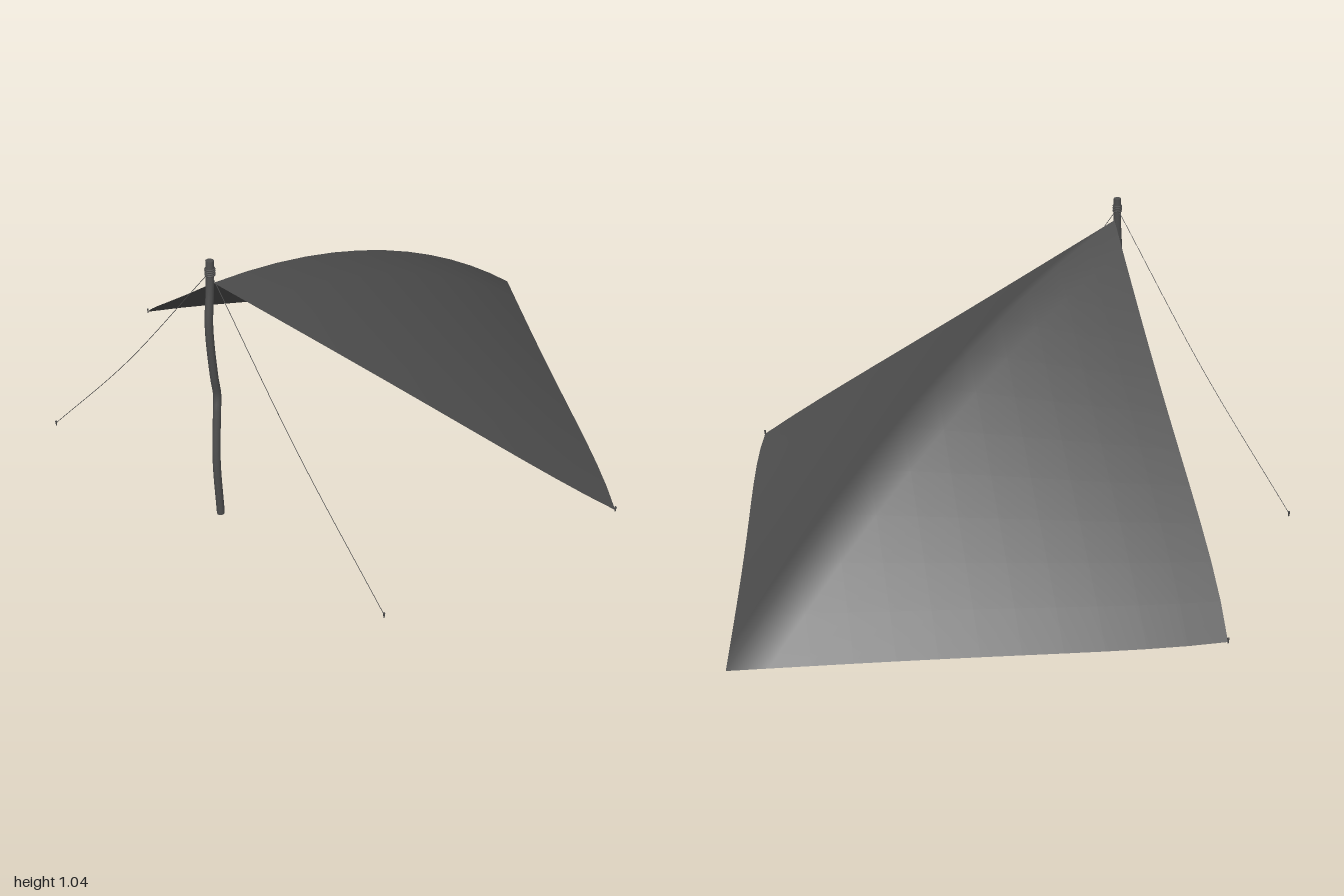
import * as THREE from 'three';

const V = (x, y, z) => new THREE.Vector3(x, y, z);
const material = new THREE.MeshStandardMaterial({ color: 0x4f4f4f, side: THREE.DoubleSide });

// Tarp corners: raised corner at the pole, then the three on the ground
const TOP = V(-0.405, 0.95, 0.39);
const LEFT = V(-0.6, 0.005, -0.98);
const FAR = V(0.988, 0.005, -0.998);
const RIGHT = V(0.97, 0.005, 0.59);

function add(parent, name, geometry) {
  const mesh = new THREE.Mesh(geometry, material);
  mesh.name = name;
  parent.add(mesh);
  return mesh;
}

// Square cloth folded softly along its diagonal, bulging upward at the ridge
function tarpGeometry(n = 12) {
  const geo = new THREE.PlaneGeometry(1, 1, n, n);
  const pos = geo.attributes.position;
  const index = [];
  for (let j = 0; j <= n; j++) {
    for (let i = 0; i <= n; i++) {
      const u = i / n, v = j / n;
      const a = 1 - Math.max(u, v), c = Math.min(u, v), side = Math.abs(u - v);
      const onLeft = u >= v;
      const p = V(0, 0, 0)
        .addScaledVector(TOP, a)
        .addScaledVector(FAR, c)
        .addScaledVector(onLeft ? LEFT : RIGHT, side);
      p.y += 0.56 * a * c;
      // slight outward bow of the edges near the pegged corners
      const bow = 0.2 * side ** 4;
      if (onLeft) {
        p.x -= a * bow;
        p.z -= 0.8 * c * bow;
      } else {
        p.z += a * bow;
        p.x += 0.8 * c * bow;
      }
      pos.setXYZ(j * (n + 1) + i, p.x, p.y, p.z);
      if (i < n && j < n) {
        // split each square along the ridge direction, facing upward
        const k = j * (n + 1) + i, m = k + n + 1;
        index.push(k, k + 1, m + 1, k, m + 1, m);
      }
    }
  }
  // choose the winding that faces upward
  for (let t = 0; t < index.length; t += 3) {
    const [A, B, C] = [0, 1, 2].map(q => V(0, 0, 0).fromBufferAttribute(pos, index[t + q]));
    if (B.sub(A).cross(C.sub(A)).y < 0) [index[t + 1], index[t + 2]] = [index[t + 2], index[t + 1]];
  }
  geo.setIndex(index);
  geo.computeVertexNormals();
  return geo;
}

// Tube with closed ends through a few points
function rod(parent, name, points, radius, segments, sides) {
  const curve = new THREE.CatmullRomCurve3(points, false, 'centripetal');
  const group = new THREE.Group();
  group.name = name;
  add(group, name + 'Body', new THREE.TubeGeometry(curve, segments, radius, sides));
  [0, 1].forEach(t => {
    const cap = add(group, name + 'End', new THREE.CircleGeometry(radius, sides));
    cap.position.copy(curve.getPoint(t));
    cap.lookAt(cap.position.clone().addScaledVector(curve.getTangent(t), t ? 1 : -1));
  });
  parent.add(group);
}

function peg(parent, x, z) {
  const mesh = add(parent, 'peg', new THREE.CylinderGeometry(0.004, 0.002, 0.02, 6));
  mesh.position.set(x, 0.01, z);
}

export function createModel() {
  const model = new THREE.Group();
  model.name = 'tarpShelter';

  add(model, 'tarp', tarpGeometry());

  // Crooked wooden pole
  rod(model, 'pole', [
    V(-0.415, 0, 0.39), V(-0.422, 0.25, 0.404), V(-0.412, 0.44, 0.385), V(-0.408, 0.5, 0.374),
    V(-0.416, 0.58, 0.388), V(-0.427, 0.8, 0.408), V(-0.418, 0.93, 0.398), V(-0.414, 1.035, 0.392),
  ], 0.014, 40, 10);

  // Rope wound around the pole head
  for (let i = 0; i < 4; i++) {
    const loop = add(model, 'ropeLoop', new THREE.TorusGeometry(0.015, 0.003, 6, 16));
    loop.rotation.x = Math.PI / 2;
    loop.position.set(-0.415, 0.985 + i * 0.007, 0.394);
  }

  // Short tie from the tarp corner to the pole
  rod(model, 'cornerTie', [TOP, V(-0.416, 0.957, 0.396)], 0.003, 2, 5);

  // Guy lines, sagging slightly, with their pegs
  const head = V(-0.415, 0.995, 0.394);
  [V(-0.99, 0.012, -0.22), V(0.06, 0.012, 0.995)].forEach(end => {
    const middle = head.clone().lerp(end, 0.5);
    middle.y -= 0.035;
    rod(model, 'guyLine', [head, middle, end], 0.0012, 16, 5);
    peg(model, end.x, end.z);
  });

  // Pegs at the two side corners of the tarp
  [LEFT, RIGHT].forEach(c => peg(model, c.x, c.z));

  return model;
}
